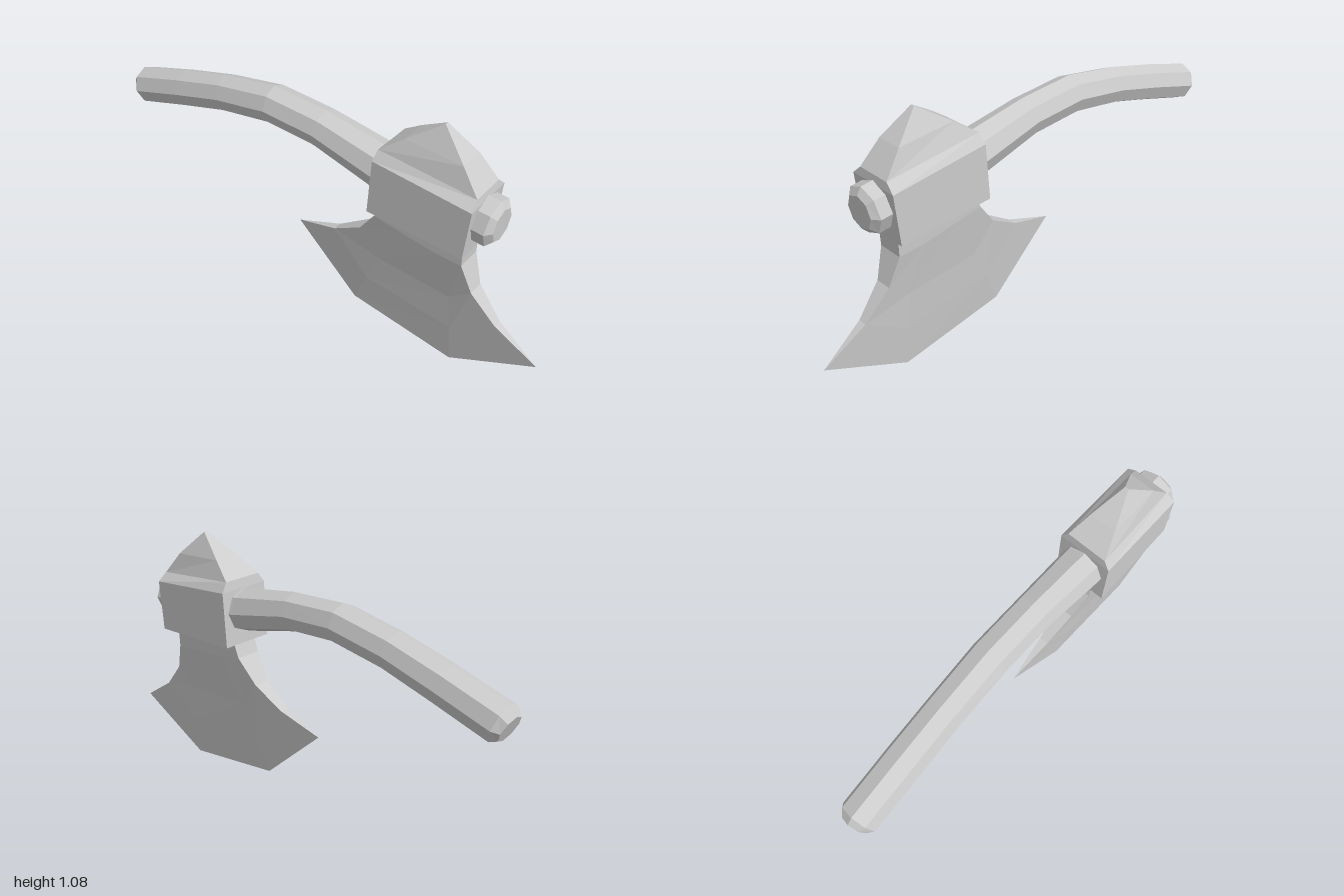
import * as THREE from 'three';

const material = new THREE.MeshStandardMaterial({ color: 0xcccccc, flatShading: true });

// Closed loft through rings of [x, y, z]; rings run counter-clockwise seen from the direction of travel
function loft(name, rings) {
  const positions = [];
  const tri = (a, b, c) => positions.push(...a, ...b, ...c);
  const n = rings[0].length;
  for (let i = 0; i < rings.length - 1; i++) {
    for (let j = 0; j < n; j++) {
      const k = (j + 1) % n;
      const [a, b, c, d] = [rings[i][j], rings[i][k], rings[i + 1][k], rings[i + 1][j]];
      tri(a, b, c);
      tri(a, c, d);
    }
  }
  const first = rings[0];
  const last = rings[rings.length - 1];
  for (let j = 1; j < n - 1; j++) {
    tri(first[0], first[j + 1], first[j]);
    tri(last[0], last[j], last[j + 1]);
  }
  const geometry = new THREE.BufferGeometry();
  geometry.setAttribute('position', new THREE.Float32BufferAttribute(positions, 3));
  geometry.computeVertexNormals();
  const mesh = new THREE.Mesh(geometry, material);
  mesh.name = name;
  return mesh;
}

// Curved eight-sided handle with chamfered ends, from the front stub to the grip end
function createHandle() {
  const path = [ // z, y, radius
    [0.785, 0.757, 0.067], [0.762, 0.758, 0.096], [0.71, 0.763, 0.096], [0.28, 0.8, 0.092],
    [0, 0.862, 0.08], [-0.24, 0.88, 0.08], [-0.49, 0.842, 0.078], [-0.72, 0.785, 0.08],
    [-0.967, 0.717, 0.08], [-0.993, 0.706, 0.057],
  ];
  const rings = path.map(([z, y, r], i) => {
    const before = path[Math.max(i - 1, 0)];
    const after = path[Math.min(i + 1, path.length - 1)];
    const slope = Math.atan2(after[1] - before[1], before[0] - after[0]);
    return Array.from({ length: 8 }, (_, j) => {
      const angle = (j * Math.PI) / 4;
      const up = -r * Math.sin(angle);
      return [r * Math.cos(angle), y + up * Math.cos(slope), z + up * Math.sin(slope)];
    });
  });
  return loft('handle', rings);
}

// Block around the handle, narrowing to a peak
function createHead() {
  const levels = [ // front: x, y, z; back: x, y, z
    [0.115, 0.632, 0.7, 0.115, 0.657, 0.287],
    [0.115, 0.845, 0.72, 0.115, 0.89, 0.303],
    [0.076, 0.88, 0.715, 0.088, 0.93, 0.31],
    [0.055, 0.975, 0.64, 0.057, 0.995, 0.4],
    [0.008, 1.08, 0.531, 0.008, 1.08, 0.529],
  ];
  const rings = levels.map(([fx, fy, fz, bx, by, bz]) => [
    [fx, fy, fz], [bx, by, bz], [-bx, by, bz], [-fx, fy, fz],
  ]);
  return loft('head', rings);
}

// Flared blade, thick at the neck and tapering to a sharp edge
function createBlade() {
  const rows = [ // half thickness at ends and middle, then [z, y] from front to back
    [0.058, 0.058, [[0.675, 0.66], [0.55, 0.66], [0.43, 0.66], [0.312, 0.67]]],
    [0.055, 0.055, [[0.672, 0.545], [0.56, 0.55], [0.4, 0.575], [0.285, 0.595]]],
    [0.035, 0.027, [[0.715, 0.42], [0.62, 0.345], [0.3, 0.37], [0.205, 0.49]]],
    [0.019, 0.016, [[0.82, 0.3], [0.63, 0.18], [0.23, 0.23], [0.07, 0.41]]],
    [0, 0, [[1, 0.18], [0.635, 0.003], [0.165, 0.08], [-0.125, 0.352]]],
  ];
  const rings = rows.map(([end, middle, points]) => {
    const side = points.map(([z, y], i) => [i % 3 ? middle : end, y, z]);
    return [...side.map(([x, y, z]) => [-x, y, z]), ...side.reverse()];
  });
  return loft('blade', rings);
}

export function createModel() {
  const model = new THREE.Group();
  model.name = 'axe';
  model.add(createHandle(), createHead(), createBlade());
  return model;
}
